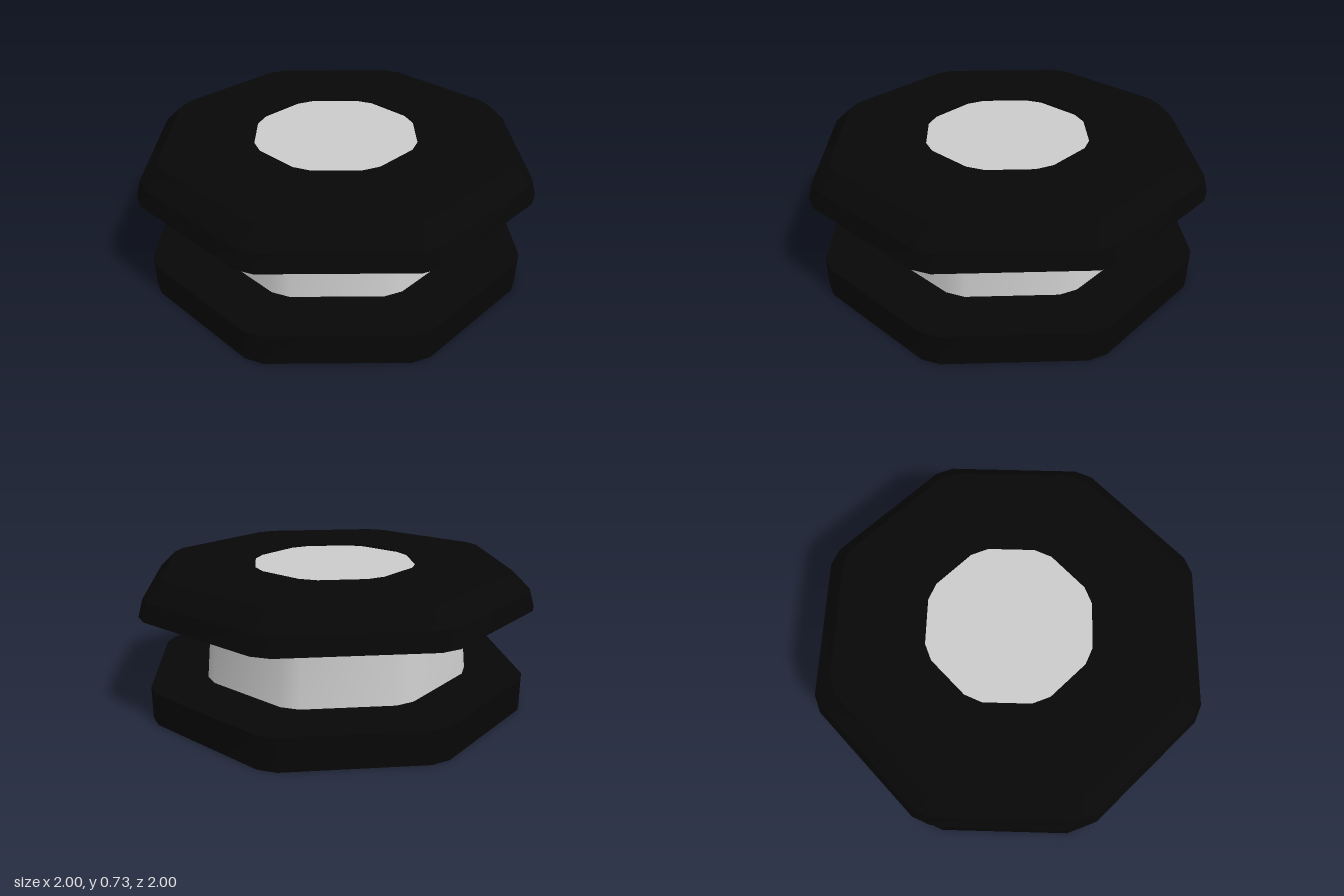
import * as THREE from 'three';
import { toCreasedNormals } from 'three/addons/utils/BufferGeometryUtils.js';

const grey = new THREE.MeshStandardMaterial({ color: 0xcccccc, side: THREE.DoubleSide });
const black = new THREE.MeshStandardMaterial({ color: 0x070707, side: THREE.DoubleSide });

// Octagon outline with flats facing the axes and clipped corners; r is the distance to a flat
function octagon(r) {
  const half = r * Math.tan(Math.PI / 8);
  const u = half - Math.min(0.053, half * 0.35);
  const pts = [];
  for (let k = 0; k < 8; k++) {
    const c = Math.cos(k * Math.PI / 4), s = Math.sin(k * Math.PI / 4);
    pts.push([c * r + s * u, s * r - c * u], [c * r - s * u, s * r + c * u]);
  }
  return pts;
}

// Joins octagon rings given as [radius, height], listed so the surface faces outwards
function loft(name, profile, material) {
  const pos = [], index = [], n = 16;
  for (const [r, y] of profile) {
    for (const [x, z] of octagon(r)) pos.push(x, y, z);
  }
  for (let i = 0; i < profile.length - 1; i++) {
    for (let j = 0; j < n; j++) {
      const a = i * n + j, b = i * n + (j + 1) % n, c = a + n, d = b + n;
      if (profile[i][0] > 0) index.push(a, c, b);
      if (profile[i + 1][0] > 0) index.push(b, c, d);
    }
  }
  const g = new THREE.BufferGeometry();
  g.setAttribute('position', new THREE.Float32BufferAttribute(pos, 3));
  g.setIndex(index);
  const mesh = new THREE.Mesh(toCreasedNormals(g, 0.5), material);
  mesh.name = name;
  return mesh;
}

export function createModel() {
  const model = new THREE.Group();
  model.name = 'octagonalSpool';
  model.add(
    // foot: a thin skirt and flange, open underneath
    loft('baseFlange', [[0.97, 0], [0.97, 0.17], [0.69, 0.17]], black),
    // hollow tapering body
    loft('bodyWall', [[0.69, 0.17], [0.655, 0.55]], grey),
    // bevelled lid with a closed underside and a shallow recess
    loft('lid', [[0, 0.55], [1, 0.55], [0.975, 0.64], [0.885, 0.73], [0.425, 0.73], [0.425, 0.72]], black),
    // pale plate set in the lid
    loft('topPlate', [[0.425, 0.72], [0, 0.72]], grey)
  );
  return model;
}
